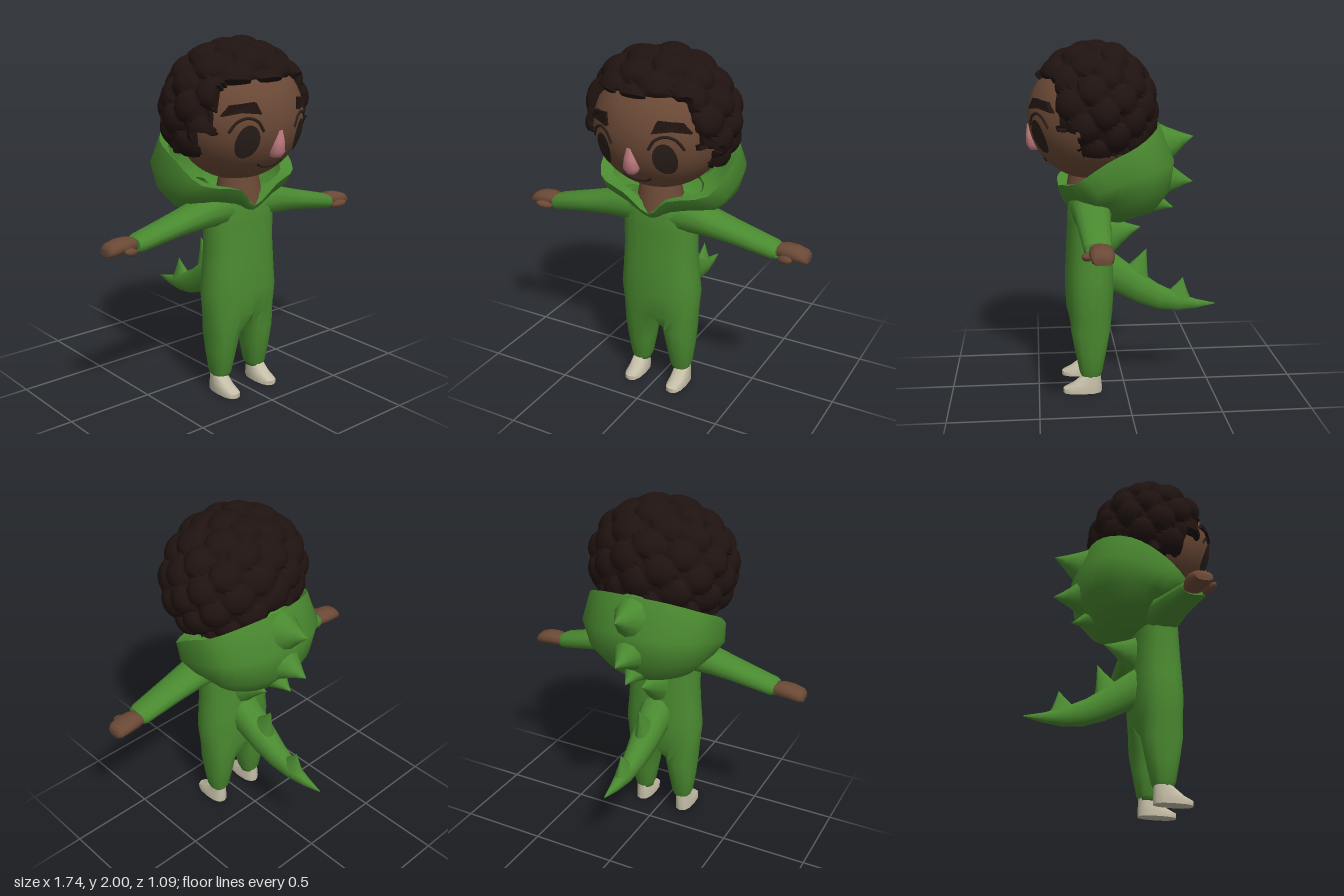
import * as THREE from 'three';
import { mergeGeometries, toCreasedNormals } from 'three/addons/utils/BufferGeometryUtils.js';

const mat = (color) => new THREE.MeshStandardMaterial({ color, side: THREE.DoubleSide });
const V = (x, y, z) => new THREE.Vector3(x, y, z);

// Skin a list of point loops; each end may be closed with a fan
function loft(rings, capStart = true, capEnd = true) {
  const n = rings[0].length, pos = [], idx = [];
  rings.forEach((r) => r.forEach((p) => pos.push(p.x, p.y, p.z)));
  for (let j = 0; j < rings.length - 1; j++) {
    for (let i = 0; i < n; i++) {
      const a = j * n + i, b = j * n + (i + 1) % n;
      idx.push(a, a + n, b, b, a + n, b + n);
    }
  }
  const cap = (j, flip) => {
    const c = rings[j].reduce((s, p) => s.add(p), V(0, 0, 0)).divideScalar(n);
    const k = pos.length / 3;
    pos.push(c.x, c.y, c.z);
    for (let i = 0; i < n; i++) {
      const a = j * n + i, b = j * n + (i + 1) % n;
      flip ? idx.push(k, b, a) : idx.push(k, a, b);
    }
  };
  if (capStart) cap(0, false);
  if (capEnd) cap(rings.length - 1, true);
  const g = new THREE.BufferGeometry();
  g.setAttribute('position', new THREE.Float32BufferAttribute(pos, 3));
  g.setIndex(idx);
  return g;
}
const smoothLoft = (rings, crease = 1) => toCreasedNormals(loft(rings), crease);

// Slightly boxy oval loop around (x, y, z), spanned by axes u and v
const soft = (t) => Math.sign(t) * Math.abs(t) ** 0.8;
function ring(x, y, z, ru, rv, u, v, n = 12) {
  return Array.from({ length: n }, (_, i) => {
    const a = (i / n) * Math.PI * 2;
    return V(x, y, z).addScaledVector(u, ru * soft(Math.cos(a))).addScaledVector(v, rv * soft(Math.sin(a)));
  });
}
const X = V(1, 0, 0), Y = V(0, 1, 0), Z = V(0, 0, 1);
const upright = (x, y, z, rx, rz, n) => ring(x, y, z, rx, rz, X, Z, n);
const sideways = (x, y, z, rz, ry) => ring(x, y, z, rz, ry, Z, Y);

// Suit body: torso plus two legs that meet it in half-oval sections at the crotch
function bodyGeometry() {
  const crotch = { y: 0.47, rx: 0.226, rz: 0.133 };
  const torso = loft([
    [crotch.y, crotch.rx, crotch.rz], [0.6, 0.238, 0.14], [0.72, 0.226, 0.137], [0.86, 0.217, 0.13],
    [1.0, 0.22, 0.122], [1.12, 0.215, 0.12], [1.17, 0.17, 0.105],
  ].map(([y, rx, rz]) => upright(0, y, 0.2, rx, rz, 20)), false, true);
  const legs = [1, -1].map((s) => {
    const top = Array.from({ length: 12 }, (_, i) => {
      const b = (i > 6 ? i - 12 : i) * Math.PI / 10;
      if (i === 6) return V(0, crotch.y, 0.2);
      return V(crotch.rx * soft(Math.max(0, Math.cos(b))), crotch.y, 0.2 + crotch.rz * soft(Math.sin(b)));
    });
    const rings = [
      [0.13, 0.1, 0.052, 0.058], [0.13, 0.12, 0.06, 0.066], [0.127, 0.24, 0.078, 0.09],
      [0.122, 0.36, 0.093, 0.112],
    ].map(([x, y, rx, rz]) => upright(x, y, 0.2, rx, rz, 12));
    rings.push(top);
    if (s < 0) rings.forEach((r) => r.forEach((p) => { p.x *= -1; }) || r.reverse());
    return loft(rings, true, false);
  });
  return toCreasedNormals(mergeGeometries([torso, ...legs]), 1);
}

const HEAD = { y: 1.58, z: 0.18, rx: 0.37, ry: 0.35, rz: 0.355 };
const faceZ = (x, y) => HEAD.z + HEAD.rz *
  Math.sqrt(Math.max(0, 1 - (x / HEAD.rx) ** 2 - ((y - HEAD.y) / HEAD.ry) ** 2));

// Wrap a flat geometry over the face
function onFace(g, lift) {
  const p = g.attributes.position;
  for (let i = 0; i < p.count; i++) p.setZ(i, p.getZ(i) + faceZ(p.getX(i), p.getY(i)) + lift);
  g.computeVertexNormals();
  return g;
}
const faceLine = (pts, r) => new THREE.TubeGeometry(
  new THREE.CatmullRomCurve3(pts.map(([x, y]) => V(x, y, faceZ(x, y)))), 16, r, 6);

// Curly hair: a shell of bulging curls, tucked under the head outside the hairline
function hairGeometry() {
  const count = 72, lumps = [];
  for (let i = 0; i < count; i++) {
    const y = 1 - (2 * i + 1) / count, r = Math.sqrt(1 - y * y), a = i * 2.39996;
    lumps.push(V(r * Math.cos(a), y, r * Math.sin(a)));
  }
  const isHair = (p) => p.y > (p.z > 0.39 ? 1.8 : p.z > 0.28 ? 1.53 : 1.39);
  const g = new THREE.SphereGeometry(1, 112, 76), pos = g.attributes.position, p = V(0, 0, 0);
  for (let i = 0; i < pos.count; i++) {
    const d = p.fromBufferAttribute(pos, i).clone().normalize();
    const near = Math.min(...lumps.map((l) => l.distanceTo(d)));
    const k = 0.905 + 0.105 * Math.sqrt(Math.max(0, 1 - (near / 0.235) ** 2));
    p.set(d.x * 0.44 * k, 1.61 + d.y * 0.39 * k, 0.155 + d.z * (d.z > 0 ? 0.39 : 0.35) * k);
    if (!isHair(p)) p.set(d.x * 0.31, 1.58 + d.y * 0.3, 0.17 + d.z * 0.28);
    pos.setXYZ(i, p.x, p.y, p.z);
  }
  return toCreasedNormals(g, 0.9);
}

export function createModel() {
  const model = new THREE.Group();
  const green = mat(0x4a8a30), skin = mat(0x6b4936), hair = mat(0x1f1310);
  const dark = mat(0x2a1f1a), pink = mat(0xc07c80), cream = mat(0xc4bda6);
  const add = (name, g, m, parent = model) => {
    const mesh = new THREE.Mesh(g, m);
    mesh.name = name;
    parent.add(mesh);
    return mesh;
  };

  // Head, neck and hair; the back of the skull is a little flatter
  const skull = new THREE.SphereGeometry(1, 40, 28), sp = skull.attributes.position;
  for (let i = 0; i < sp.count; i++) {
    const z = sp.getZ(i);
    sp.setXYZ(i, sp.getX(i) * HEAD.rx, HEAD.y + sp.getY(i) * HEAD.ry, HEAD.z + z * (z > 0 ? HEAD.rz : 0.3));
  }
  skull.computeVertexNormals();
  add('head', skull, skin);
  add('neck', new THREE.CylinderGeometry(0.1, 0.14, 0.22, 12), skin).position.set(0, 1.21, 0.2);
  add('hair', hairGeometry(), hair);

  // Face
  for (const s of [1, -1]) {
    const side = s > 0 ? 'left' : 'right';
    const eye = new THREE.CircleGeometry(1, 28).scale(0.056, 0.09, 1).translate(s * 0.18, 1.49, 0);
    add(side + 'Eye', onFace(eye, 0.006), dark);
    const lid = [0, 1, 2, 3, 4].map((i) => {
      const a = 0.35 + i * 0.6;
      return [s * (0.185 + 0.085 * Math.cos(a)), 1.5 + 0.115 * Math.sin(a)];
    });
    add(side + 'Eyelid', faceLine(lid, 0.008), dark);
    const brow = new THREE.Shape([[0.13, 1.635], [0.22, 1.645], [0.295, 1.625], [0.255, 1.68], [0.15, 1.695]]
      .map(([x, y]) => new THREE.Vector2(s * x, y)));
    const browGeo = new THREE.ExtrudeGeometry(brow, { depth: 0.028, bevelEnabled: false });
    add(side + 'Eyebrow', toCreasedNormals(onFace(browGeo, -0.005), 0.5), hair);
  }
  add('mouth', faceLine([[-0.085, 1.365], [-0.06, 1.345], [0, 1.335], [0.06, 1.345], [0.085, 1.365]], 0.007), dark);
  add('nose', smoothLoft([
    [1.395, 0.49, 0.025, 0.035], [1.425, 0.5, 0.044, 0.045], [1.48, 0.51, 0.033, 0.037], [1.54, 0.52, 0.012, 0.02],
  ].map(([y, z, rx, rz]) => upright(0, y, z, rx, rz)), 1.2), pink);

  add('suitBody', bodyGeometry(), green);

  // Arms and feet, mirrored
  for (const s of [1, -1]) {
    const half = new THREE.Group();
    half.name = s > 0 ? 'leftLimbs' : 'rightLimbs';
    half.scale.x = s;
    model.add(half);
    add('cuff', new THREE.CylinderGeometry(0.052, 0.05, 0.03, 12), mat(0x33611f), half).position.set(0.13, 0.1, 0.2);
    add('shoe', smoothLoft([
      [0, 0.25, 0.052, 0.112], [0.025, 0.25, 0.053, 0.112], [0.05, 0.225, 0.048, 0.085], [0.1, 0.195, 0.042, 0.05],
    ].map(([y, z, rx, rz]) => upright(0.138, y, z, rx, rz))), cream, half);
    add('sleeve', smoothLoft([
      [0.1, 1.08, 0.115, 0.09], [0.22, 1.08, 0.11, 0.087], [0.32, 1.06, 0.097, 0.07],
      [0.45, 1.035, 0.088, 0.058], [0.68, 0.987, 0.073, 0.046], [0.705, 0.983, 0.06, 0.037],
    ].map(([x, y, rz, ry]) => sideways(x, y, 0.195, rz, ry))), green, half);
    add('hand', smoothLoft([
      [0.69, 0.985, 0.045, 0.03], [0.74, 0.988, 0.06, 0.038], [0.8, 0.985, 0.063, 0.038],
      [0.85, 0.975, 0.058, 0.034], [0.868, 0.968, 0.045, 0.022],
    ].map(([x, y, rz, ry]) => sideways(x, y, 0.182, rz, ry))), skin, half);
    const thumb = add('thumb', new THREE.SphereGeometry(1, 10, 8), skin, half);
    thumb.scale.set(0.05, 0.022, 0.025);
    thumb.position.set(0.76, 0.965, 0.252);
    thumb.rotation.set(0, -0.4, 0.2);
  }

  // Lowered hood: half loops from front to back, mirrored and rounded
  const hoodLoop = (pts) => {
    const half = pts.map((p) => V(...p));
    const loop = [...half, ...half.slice(1, -1).reverse().map((p) => V(-p.x, p.y, p.z))];
    const curve = new THREE.CatmullRomCurve3(loop, true);
    return Array.from({ length: 36 }, (_, i) => curve.getPoint(i / 36));
  };
  const hood = loft([
    [[0, 1.12, 0.3], [0.1, 1.2, 0.32], [0.27, 1.25, 0.25], [0.33, 1.33, 0.11], [0.31, 1.41, -0.03], [0.18, 1.48, -0.13], [0, 1.5, -0.15]],
    [[0, 1.1, 0.34], [0.13, 1.21, 0.375], [0.33, 1.25, 0.29], [0.38, 1.37, 0.12], [0.36, 1.45, -0.04], [0.2, 1.52, -0.16], [0, 1.54, -0.2]],
    [[0, 1.08, 0.33], [0.13, 1.15, 0.34], [0.36, 1.18, 0.22], [0.4, 1.26, 0.05], [0.36, 1.31, -0.13], [0.2, 1.33, -0.25], [0, 1.34, -0.28]],
    [[0, 1.07, 0.32], [0.12, 1.12, 0.3], [0.32, 1.13, 0.18], [0.36, 1.16, 0.05], [0.33, 1.17, -0.11], [0.18, 1.17, -0.23], [0, 1.17, -0.26]],
    [[0, 1.06, 0.3], [0.12, 1.1, 0.26], [0.25, 1.1, 0.16], [0.28, 1.08, 0.06], [0.26, 1.07, -0.06], [0.15, 1.05, -0.14], [0, 1.04, -0.17]],
    [[0, 1.04, 0.25], [0.1, 1.04, 0.22], [0.16, 1.03, 0.15], [0.18, 1.01, 0.08], [0.15, 1.0, 0.03], [0.08, 1.0, 0], [0, 1.0, 0]],
  ].map(hoodLoop), false, true);
  add('hood', toCreasedNormals(hood, 1), green);

  // Curved tail
  add('tail', smoothLoft([
    [0.12, 0.7, 0.1, 0.13], [0.05, 0.67, 0.095, 0.115], [-0.08, 0.585, 0.08, 0.098],
    [-0.2, 0.52, 0.062, 0.077], [-0.32, 0.483, 0.045, 0.053], [-0.43, 0.467, 0.026, 0.027], [-0.54, 0.465, 0.003, 0.003],
  ].map(([z, y, rx, ry]) => ring(0, y, z, rx, ry, X, Y))), green);

  // Flared spikes down the hood, back and tail: base y, z; tip y, z; half width, half length
  const flare = [[1, 0], [0.6, 0.35], [0.28, 0.68], [0, 1]].map(([r, y]) => new THREE.Vector2(r, y));
  [
    [1.41, -0.19, 1.46, -0.4, 0.13, 0.15], [1.22, -0.23, 1.2, -0.4, 0.11, 0.11],
    [1.09, -0.15, 1.05, -0.29, 0.09, 0.08], [0.9, 0.09, 0.94, -0.1, 0.09, 0.12],
    [0.63, -0.06, 0.81, -0.135, 0.06, 0.1], [0.51, -0.32, 0.63, -0.35, 0.042, 0.085],
  ].forEach(([by, bz, ty, tz, w, l], i) => {
    const dy = ty - by, dz = tz - bz;
    const spike = add('spike' + (i + 1), new THREE.LatheGeometry(flare, 10).scale(w, Math.hypot(dy, dz), l), green);
    spike.position.set(0, by, bz);
    spike.rotation.x = Math.atan2(dz, dy);
  });

  return model;
}
